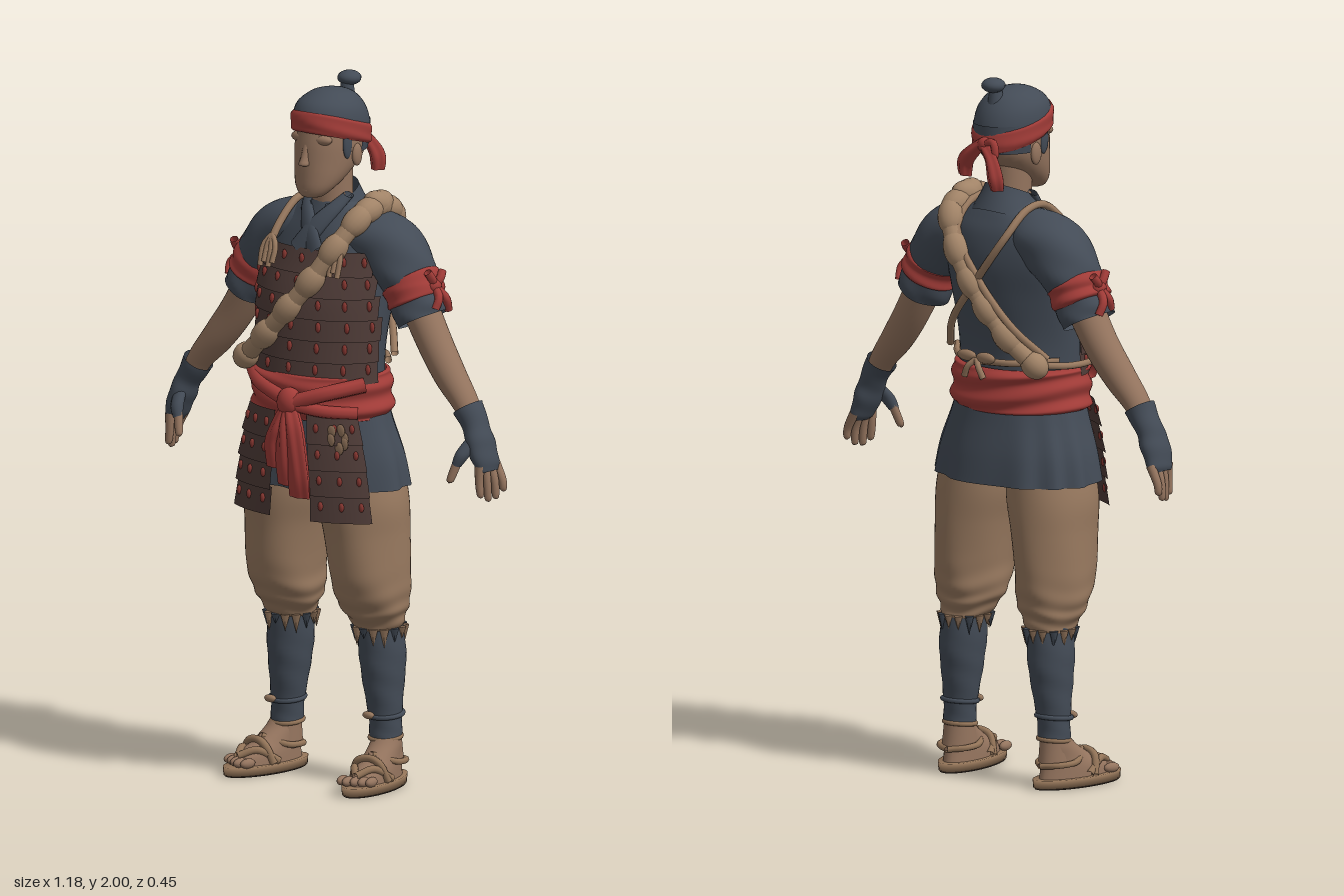
import * as THREE from 'three';

const V = (x, y, z) => new THREE.Vector3(x, y, z);
const mat = (name, color) => Object.assign(new THREE.MeshStandardMaterial({ color, side: THREE.DoubleSide }), { name });

// Smooth interpolation through cross-sections [x, y, z, rx, rz], listed bottom to top
function sample(S, t) {
  const n = S.length - 1, i = Math.max(0, Math.min(n - 1, Math.floor(t))), u = t - i;
  const A = S[Math.max(0, i - 1)], B = S[i], C = S[i + 1], D = S[Math.min(n, i + 2)];
  return B.map((b, k) => 0.5 * (2 * b + (C[k] - A[k]) * u + (2 * A[k] - 5 * b + 4 * C[k] - D[k]) * u * u
    + (3 * b - A[k] - 3 * C[k] + D[k]) * u * u * u));
}

// Grid surface from a rule (u, v) -> point
function grid(nu, nv, closed, rule) {
  const pos = [], idx = [], cols = closed ? nu : nu + 1;
  for (let j = 0; j <= nv; j++) for (let i = 0; i < cols; i++) pos.push(...rule(i / nu, j / nv).toArray());
  for (let j = 0; j < nv; j++) for (let i = 0; i < nu; i++) {
    const a = j * cols + i, b = j * cols + (i + 1) % cols, c = a + cols, d = b + cols;
    idx.push(a, b, d, a, d, c);
  }
  const g = new THREE.BufferGeometry();
  g.setAttribute('position', new THREE.Float32BufferAttribute(pos, 3));
  g.setIndex(idx);
  g.computeVertexNormals();
  return g;
}

// Loft of elliptical rings; tilt turns each ring square to the path, shear slopes it front to back
function loft(S, { nu = 28, nv = 24, a0 = 0, a1 = Math.PI * 2, tilt = false, shear = 0, fold = null } = {}) {
  const n = S.length - 1, closed = a1 - a0 > 6.28;
  return grid(nu, nv, closed, (u, v) => {
    const a = a0 + (a1 - a0) * u, [x, y, z, rx, rz] = sample(S, v * n);
    const f = 1 + (fold ? fold(a, v) : 0);
    let X = V(1, 0, 0);
    if (tilt) {
      const p = sample(S, Math.max(0, v - 0.02) * n), q = sample(S, Math.min(1, v + 0.02) * n);
      X = V(q[1] - p[1], p[0] - q[0], 0).normalize();
    }
    const dz = rz * f * Math.cos(a);
    return V(x, y + shear * dz, z + dz).addScaledVector(X, rx * f * Math.sin(a));
  });
}

// Point on a loft at a given angle and height, moved outward by off
function onBody(S, a, y, off) {
  let lo = 0, hi = S.length - 1;
  for (let k = 0; k < 24; k++) { const m = (lo + hi) / 2; if (sample(S, m)[1] < y) lo = m; else hi = m; }
  const [x, , z, rx, rz] = sample(S, lo);
  return V(x + (rx + off) * Math.sin(a), y, z + (rz + off) * Math.cos(a));
}

const curve = (pts) => new THREE.CatmullRomCurve3(pts.map((p) => V(...p)));
const rope = (pts, r, seg = 28) => new THREE.TubeGeometry(curve(pts), seg, r, 8);
const ball = (x, y, z, a, b = a, c = a) => new THREE.SphereGeometry(1, 16, 12).scale(a, b, c).translate(x, y, z);

export function createModel() {
  const root = new THREE.Group();
  const navy = mat('navyCloth', 0x434b56), red = mat('redCloth', 0xa23c38), tan = mat('tanCloth', 0x98795f);
  const skin = mat('skin', 0x94745e), brown = mat('brownArmour', 0x4e3b37), stud = mat('rustStuds', 0x8a3832);
  const sole = mat('darkSole', 0x47382f), straw = mat('strawSandal', 0x937458), roll = mat('paleRollCloth', 0xa18367);
  const add = (name, geo, m, parent = root) => {
    const mesh = new THREE.Mesh(geo, m);
    mesh.name = name;
    parent.add(mesh);
    return mesh;
  };

  // Head, face and neck
  add('head', loft([[0, 1.667, 0.045, 0.004, 0.004], [0, 1.672, 0.042, 0.032, 0.03], [0, 1.695, 0.028, 0.056, 0.052],
    [0, 1.73, 0, 0.074, 0.08], [0, 1.775, -0.03, 0.086, 0.108], [0, 1.82, -0.04, 0.09, 0.115], [0, 1.865, -0.04, 0.086, 0.108]]), skin);
  add('neck', loft([[0, 1.54, -0.06, 0.07, 0.07], [0, 1.62, -0.05, 0.056, 0.06], [0, 1.76, -0.045, 0.056, 0.062]]), skin);
  add('nose', loft([[0, 1.76, 0.074, 0.004, 0.003], [0, 1.765, 0.077, 0.016, 0.018], [0, 1.785, 0.071, 0.013, 0.016],
    [0, 1.83, 0.06, 0.011, 0.012]], { nu: 14, nv: 12 }), skin);
  add('mouth', ball(0, 1.735, 0.064, 0.026, 0.014, 0.014), skin);
  add('chin', ball(0, 1.692, 0.062, 0.026, 0.018, 0.018), skin);
  for (const s of [-1, 1]) {
    add('brow', ball(s * 0.03, 1.835, 0.045, 0.04, 0.018, 0.02), skin);
    add('ear', ball(s * 0.09, 1.785, -0.045, 0.01, 0.032, 0.02), skin);
    add('sideburn', ball(s * 0.085, 1.82, -0.008, 0.008, 0.042, 0.018), navy);
  }

  // Cap, topknot, headband and its tails
  add('lowerHair', loft([[0, 1.79, -0.045, 0.089, 0.116], [0, 1.83, -0.045, 0.094, 0.121], [0, 1.87, -0.045, 0.096, 0.123]],
    { a0: 1.75, a1: 4.53 }), navy);
  add('cap', loft([[0, 1.84, -0.042, 0.097, 0.122], [0, 1.88, -0.042, 0.099, 0.121], [0, 1.92, -0.045, 0.088, 0.104],
    [0, 1.95, -0.055, 0.058, 0.068], [0, 1.962, -0.06, 0.025, 0.03], [0, 1.964, -0.06, 0.001, 0.001]], { shear: 0.14 }), navy);
  add('topknotStem', new THREE.CylinderGeometry(0.016, 0.024, 0.06, 14).translate(0, 1.95, -0.113), navy);
  add('topknot', ball(0, 1.979, -0.123, 0.034, 0.021, 0.034), navy);
  add('headband', loft([[0, 1.824, -0.042, 0.096, 0.121], [0, 1.832, -0.042, 0.101, 0.127], [0, 1.85, -0.042, 0.103, 0.128],
    [0, 1.874, -0.042, 0.102, 0.127], [0, 1.884, -0.042, 0.096, 0.12]], { shear: 0.27, fold: (a, v) => 0.01 * Math.sin(14 * v + 2 * a) }), red);
  add('headbandKnot', ball(-0.01, 1.818, -0.17, 0.024, 0.022, 0.018), red);
  for (const [x, y, z] of [[-0.078, 1.7, -0.195], [0.072, 1.72, -0.16]]) {
    add('headbandTail', loft([[x, y, z, 0.02, 0.014], [x * 0.95, y + 0.035, z - 0.004, 0.025, 0.017],
      [x * 0.6, 1.785, (z - 0.18) / 2, 0.02, 0.015], [0, 1.82, -0.17, 0.014, 0.012]], { nu: 24, tilt: true, fold: (a) => 0.15 * Math.cos(4 * a) }), red);
  }
  add('headbandLoop', rope([[-0.01, 1.82, -0.172], [-0.05, 1.83, -0.18], [-0.055, 1.79, -0.18], [-0.01, 1.812, -0.174]], 0.011, 16), red);

  // Shirt body, collar and crossed lapels
  const torso = [[0, 1.0, -0.01, 0.2, 0.15], [0, 1.14, -0.01, 0.188, 0.142], [0, 1.25, -0.012, 0.19, 0.136],
    [0, 1.38, -0.03, 0.2, 0.14], [0, 1.48, -0.055, 0.205, 0.13], [0, 1.56, -0.065, 0.19, 0.112],
    [0, 1.61, -0.065, 0.135, 0.09], [0, 1.65, -0.06, 0.075, 0.07]];
  add('shirtBody', loft(torso, { nu: 48, nv: 40, fold: (a, v) => 0.012 * Math.sin(5 * a + 9 * v) }), navy);
  add('collar', loft([[0, 1.59, -0.06, 0.11, 0.098], [0, 1.645, -0.055, 0.08, 0.08], [0, 1.672, -0.053, 0.068, 0.072]],
    { shear: -0.4, a0: 0.35, a1: 5.93 }), navy);
  for (const s of [-1, 1]) {
    add('lapel', loft([[-s * 0.03, 1.52, 0.068, 0.03, 0.012], [s * 0.01, 1.58, 0.045, 0.028, 0.014],
      [s * 0.045, 1.63, 0.008, 0.022, 0.016], [s * 0.068, 1.67, -0.035, 0.014, 0.016]], { nu: 12, tilt: true }), navy);
  }

  // Arms, sleeves, arm ties and fingerless gloves
  for (const s of [-1, 1]) {
    const arm = new THREE.Group();
    arm.name = s > 0 ? 'leftArm' : 'rightArm';
    root.add(arm);
    const m = (S) => S.map(([x, ...r]) => [s * x, ...r]);
    const limb = (name, S, c, o = {}) => add(name, loft(m(S), { tilt: true, ...o }), c, arm);
    limb('forearm', [[0.505, 1.07, -0.05, 0.028, 0.035], [0.47, 1.13, -0.052, 0.036, 0.04], [0.41, 1.2, -0.058, 0.046, 0.046],
      [0.345, 1.29, -0.066, 0.05, 0.05], [0.27, 1.42, -0.07, 0.052, 0.055]], skin);
    limb('sleeve', [[0.309, 1.342, -0.068, 0.073, 0.078], [0.296, 1.368, -0.069, 0.078, 0.083],
      [0.272, 1.42, -0.07, 0.074, 0.08], [0.245, 1.465, -0.072, 0.083, 0.092], [0.195, 1.522, -0.072, 0.088, 0.098],
      [0.125, 1.553, -0.068, 0.08, 0.095], [0.05, 1.575, -0.06, 0.06, 0.07]], navy, { nu: 36, nv: 48, fold: (a, v) => 0.03 * Math.sin(4 * a + 16 * v) });
    limb('armTie', [[0.287, 1.39, -0.07, 0.074, 0.08], [0.283, 1.398, -0.07, 0.083, 0.089], [0.272, 1.42, -0.07, 0.081, 0.087],
      [0.263, 1.44, -0.07, 0.083, 0.089], [0.258, 1.448, -0.07, 0.076, 0.082]], red, { fold: (a, v) => 0.025 * Math.sin(14 * v + a) });
    add('armTieKnot', ball(s * 0.345, 1.442, -0.07, 0.02, 0.022, 0.024), red, arm);
    for (const [x, y, z] of [[0.372, 1.372, -0.1], [0.368, 1.382, -0.045], [0.35, 1.48, -0.1], [0.345, 1.485, -0.04]]) {
      add('armTieEnd', rope([[s * 0.345, 1.442, -0.07], [s * (x + 0.004), (y + 1.442) / 2, (z - 0.07) / 2], [s * x, y, z]], 0.012, 8), red, arm);
    }
    limb('glove', [[0.559, 0.945, -0.047, 0.016, 0.036], [0.552, 0.965, -0.047, 0.025, 0.046], [0.533, 1.015, -0.045, 0.033, 0.05],
      [0.512, 1.065, -0.048, 0.035, 0.042], [0.48, 1.118, -0.052, 0.043, 0.046]], navy, { fold: (a, v) => 0.03 * Math.sin(22 * v + a) });
    limb('gloveThumb', [[0.497, 0.968, 0.02, 0.014, 0.014], [0.51, 1.0, 0.006, 0.02, 0.02], [0.525, 1.04, -0.03, 0.02, 0.02]], navy, { nu: 14 });
    limb('thumb', [[0.482, 0.918, 0.032, 0.003, 0.003], [0.484, 0.926, 0.031, 0.011, 0.011], [0.499, 0.98, 0.016, 0.013, 0.013]], skin, { nu: 12 });
    [0.885, 0.867, 0.863, 0.875].forEach((y, i) => {
      const z = -0.084 + i * 0.024, x = 0.58 - i * 0.008;
      limb('finger', [[x, y, z, 0.002, 0.002], [x, y + 0.008, z, 0.01, 0.01], [x - 0.004, 0.92, z, 0.012, 0.012],
        [0.552, 0.965, z, 0.014, 0.013]], skin, { nu: 12, nv: 12 });
    });
  }

  // Chest armour: overlapping rows with ragged studs
  for (let r = 0; r < 6; r++) {
    const y0 = 1.16 + r * 0.06, w = 1.45 - Math.max(0, r - 2) * 0.13;
    add('armourRow', grid(32, 4, false, (u, v) => onBody(torso, (u * 2 - 1) * w, y0 + v * 0.066, 0.024 - 0.007 * v)), brown);
    for (let k = -3; k <= 3; k++) {
      const p = onBody(torso, k * w / 3.5, y0 + 0.04, 0.021);
      add('armourStud', ball(p.x, p.y, p.z, 0.008, 0.015, 0.006), stud);
    }
  }

  // Waist sash with knot and hanging tails
  add('sash', loft([[0, 1.055, -0.005, 0.2, 0.155], [0, 1.067, -0.005, 0.212, 0.17], [0, 1.1, -0.005, 0.211, 0.172],
    [0, 1.14, -0.005, 0.207, 0.17], [0, 1.17, -0.005, 0.206, 0.17], [0, 1.182, -0.005, 0.19, 0.15]],
  { nu: 64, nv: 48, fold: (a, v) => 0.025 * Math.sin(20 * v + 2.5 * Math.sin(a) + Math.cos(2 * a)) }), red);
  add('sashKnot', ball(0.03, 1.11, 0.182, 0.038, 0.042, 0.033), red);
  for (const [pts, r] of [[[[-0.19, 1.16, 0.07], [-0.1, 1.145, 0.15], [0.02, 1.115, 0.185]], 0.02],
    [[[0.2, 1.16, 0.06], [0.13, 1.14, 0.145], [0.04, 1.11, 0.188]], 0.022],
    [[[0.19, 1.08, 0.08], [0.12, 1.09, 0.15], [0.04, 1.105, 0.188]], 0.018]]) add('sashWrap', rope(pts, r), red);
  for (const [x, y, w] of [[-0.012, 0.92, 0.028], [0.03, 0.875, 0.03], [0.074, 0.845, 0.033]]) {
    add('sashTail', loft([[x, y, 0.188, w, 0.014], [x, y + 0.07, 0.196, w, 0.019], [x * 0.6 + 0.012, 1.04, 0.196, w * 0.9, 0.022],
      [0.03, 1.11, 0.182, 0.02, 0.016]], { nu: 32, fold: (a) => 0.13 * Math.cos(5 * a) }), red);
  }

  // Shirt skirt and hanging armour panels
  add('shirtSkirt', loft([[0, 0.858, -0.02, 0.26, 0.182], [0, 0.94, -0.018, 0.245, 0.172], [0, 1.03, -0.012, 0.215, 0.158],
    [0, 1.1, -0.008, 0.195, 0.148]], { nu: 96, fold: (a, v) => 0.032 * (1 - v) * Math.sin(11 * a + 2 * Math.sin(3 * a)) }), navy);
  const hang = [[0, 0.77, 0, 0.272, 0.16], [0, 0.93, 0, 0.25, 0.163], [0, 1.1, 0, 0.205, 0.155]];
  for (const [a0, a1] of [[-0.85, -0.15], [0.33, 1.05]]) {
    for (let r = 0; r < 4; r++) {
      const y0 = 0.776 + r * 0.073;
      add('hangingPlate', grid(14, 3, false, (u, v) => onBody(hang, a0 + (a1 - a0) * u, y0 + v * 0.08, 0.019 - 0.008 * v)), brown);
      for (let k = 0; k < 3; k++) {
        const p = onBody(hang, a0 + (a1 - a0) * (k + 0.5) / 3, y0 + 0.045, 0.016);
        add('plateStud', ball(p.x, p.y, p.z, 0.008, 0.013, 0.006), stud);
      }
    }
  }
  for (let k = 0; k < 6; k++) {
    const p = onBody(hang, 0.72 + 0.09 * Math.cos(k * 2.4), 1.015 + 0.028 * Math.sin(k * 2.4), 0.018);
    add('frayedPatch', ball(p.x, p.y, p.z, 0.015, 0.018, 0.004), tan);
  }

  // Padded roll slung from the left shoulder to the right hip, front and back
  const rolls = [
    [[0.14, 1.645, -0.075], [0.145, 1.625, 0.005], [0.11, 1.545, 0.075], [0.055, 1.45, 0.115], [-0.015, 1.36, 0.138], [-0.1, 1.27, 0.14], [-0.175, 1.205, 0.118]],
    [[0.14, 1.645, -0.075], [0.132, 1.61, -0.15], [0.085, 1.52, -0.186], [0.03, 1.43, -0.188], [-0.03, 1.35, -0.18], [-0.095, 1.27, -0.16], [-0.16, 1.205, -0.13]]];
  for (const pts of rolls) {
    const c = curve(pts);
    add('rollStrap', new THREE.TubeGeometry(c, 48, 0.027, 12), roll);
    for (const t of [0, 0.1, 0.2, 0.35, 0.51, 0.66, 0.81, 1]) {
      const bead = add('rollSegment', ball(0, 0, 0, 0.037, t === 1 ? 0.042 : 0.056, 0.037), roll);
      bead.position.copy(c.getPoint(t));
      bead.quaternion.setFromUnitVectors(V(0, 1, 0), c.getTangent(t));
    }
  }
  add('hipCord', rope([[-0.175, 1.205, 0.11], [-0.222, 1.2, 0.03], [-0.215, 1.2, -0.06], [-0.16, 1.205, -0.13]], 0.01), tan);

  // Armour cords crossing the back, with a bow
  for (const s of [-1, 1]) {
    add('shoulderCord', rope([[s * 0.12, 1.5, 0.095], [s * 0.115, 1.575, 0.048], [s * 0.108, 1.64, -0.03], [s * 0.105, 1.635, -0.1],
      [s * 0.09, 1.565, -0.175], [0, 1.44, -0.19], [-s * 0.11, 1.31, -0.168], [-s * 0.18, 1.22, -0.1]], 0.011, 56), tan);
    add('backCord', rope([[0, 1.2, -0.165], [s * 0.1, 1.205, -0.15], [s * 0.19, 1.21, -0.06]], 0.01), tan);
    add('bowLoop', ball(0.02 + s * 0.035, 1.212, -0.172, 0.034, 0.016, 0.012), tan);
    add('bowEnd', rope([[0.02, 1.205, -0.172], [0.02 + s * 0.02, 1.185, -0.185], [0.02 + s * 0.035, 1.155, -0.183]], 0.009, 8), tan);
    for (let k = 0; k < 4; k++) {
      const x = s * (0.095 + k * 0.014), y = 1.475 - 0.012 * (k % 2);
      add('cordFringe', rope([[s * 0.12, 1.55, 0.07], [x, 1.52, 0.088], [x, y, 0.104]], 0.008, 6), tan);
    }
  }

  // Legs: baggy trousers, shin wraps and straw sandals
  for (const s of [-1, 1]) {
    const leg = new THREE.Group();
    leg.name = s > 0 ? 'leftLeg' : 'rightLeg';
    root.add(leg);
    const m = (S) => S.map(([x, ...r]) => [s * x, ...r]);
    const crease = (a, v) => 0.022 * Math.sin(5 * a + 8 * v) * (1 - v)
      + 0.045 * Math.sin(36 * v + 1.6 * Math.sin(2 * a + s)) * Math.max(0, 1 - 1.8 * v);
    add('trouserLeg', loft(m([[0.157, 0.445, -0.062, 0.062, 0.066], [0.153, 0.485, -0.05, 0.084, 0.088], [0.15, 0.53, -0.04, 0.1, 0.108],
      [0.15, 0.6, -0.031, 0.104, 0.125], [0.141, 0.72, -0.027, 0.112, 0.134], [0.13, 0.82, -0.022, 0.122, 0.138],
      [0.115, 0.95, -0.02, 0.11, 0.13]]), { nu: 48, nv: 64, fold: crease }), tan, leg);
    for (let k = 0; k < 14; k++) {
      const a = k * 0.449, h = 0.03 + 0.025 * Math.abs(Math.sin(k * 2.3));
      add('tornHem', new THREE.ConeGeometry(0.014, h, 5).rotateX(Math.PI)
        .translate(s * 0.157 + 0.067 * Math.sin(a), 0.452 - h / 2, -0.062 + 0.072 * Math.cos(a)), k % 3 ? tan : navy, leg);
    }
    add('shinWrap', loft(m([[0.176, 0.135, -0.066, 0.047, 0.046], [0.174, 0.19, -0.066, 0.047, 0.046], [0.168, 0.28, -0.066, 0.056, 0.06],
      [0.164, 0.37, -0.066, 0.064, 0.07], [0.158, 0.48, -0.06, 0.062, 0.066]]), { fold: (a, v) => 0.015 * Math.sin(30 * v + 2 * a) }), navy, leg);
    add('ankle', loft(m([[0.18, 0.06, -0.06, 0.046, 0.06], [0.178, 0.15, -0.066, 0.041, 0.041]])), skin, leg);
    for (const [y, c, r] of [[0.2, navy, 0.049], [0.135, straw, 0.044]]) {
      add('ankleCord', new THREE.TorusGeometry(r, 0.007, 8, 28).rotateX(Math.PI / 2 + 0.1).translate(s * 0.175, y, -0.066), c, leg);
    }
    add('cordKnot', ball(s * 0.175 - 0.02, 0.2, -0.014, 0.02, 0.011, 0.01), tan, leg);

    const foot = new THREE.Group();
    foot.name = 'foot';
    foot.position.set(s * 0.194, 0, 0.008);
    foot.rotation.y = s * 0.16;
    leg.add(foot);
    const slab = (y0, y1, k) => loft([[0, y0, 0, 0.001, 0.001], [0, y0, 0, 0.062 * k, 0.148 * k], [0, y1, 0, 0.064 * k, 0.15 * k],
      [0, y1 + 0.001, 0, 0.001, 0.001]], { nu: 36, nv: 3 });
    add('soleBottom', slab(0, 0.004, 0.97), sole, foot);
    add('sandalSole', slab(0.004, 0.028, 1), straw, foot);
    add('footBody', loft([[0, 0.025, -0.005, 0.052, 0.125], [0, 0.055, -0.012, 0.05, 0.112], [0, 0.085, -0.04, 0.045, 0.08],
      [0, 0.115, -0.062, 0.043, 0.055], [0, 0.135, -0.07, 0.04, 0.042]]), skin, foot);
    for (let k = -2; k <= 2; k++) {
      add('toe', ball(k * 0.021, 0.04, 0.112 - Math.abs(k + s) * 0.007, 0.013, 0.014, 0.026), skin, foot);
    }
    for (const t of [-1, 1]) {
      add('toeStrap', rope([[0, 0.055, 0.105], [t * 0.03, 0.07, 0.06], [t * 0.057, 0.035, 0]], 0.011, 14), straw, foot);
      add('heelStrap', rope([[0, 0.1, 0.015], [t * 0.05, 0.075, -0.04], [t * 0.045, 0.07, -0.1], [0, 0.065, -0.13]], 0.009, 20), straw, foot);
    }
    add('instepStrap', rope([[-0.057, 0.03, 0.02], [-0.035, 0.082, 0.035], [0, 0.094, 0.035], [0.035, 0.082, 0.035], [0.057, 0.03, 0.02]], 0.011), straw, foot);
  }
  return root;
}
